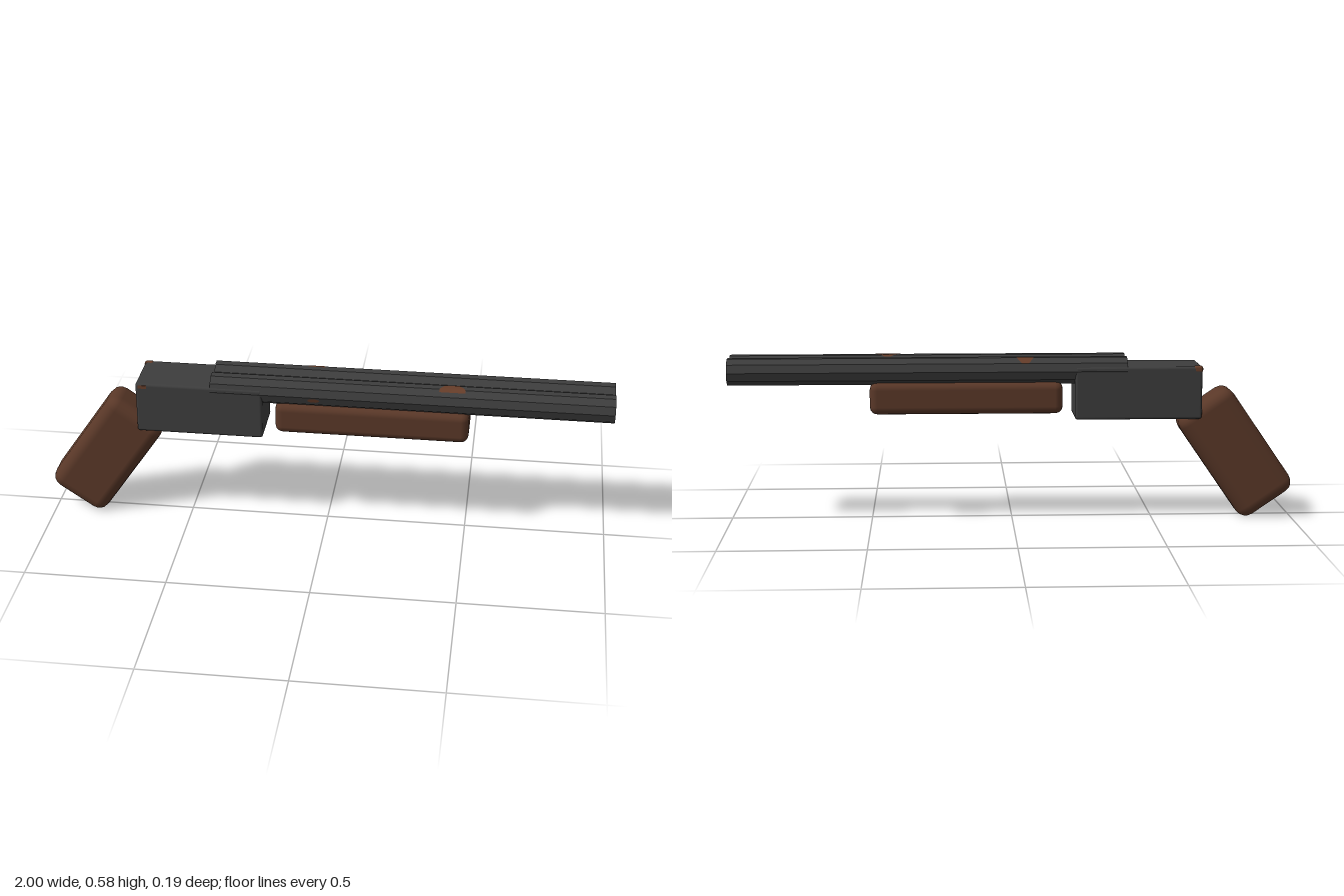
import * as THREE from 'three';
import { RoundedBoxGeometry } from 'three/addons/geometries/RoundedBoxGeometry.js';

const BARREL_R = 0.049, BARREL_Y = 0.537, BARREL_Z = 0.046;

export function createModel() {
  const group = new THREE.Group();
  const metal = new THREE.MeshStandardMaterial({ color: 0x3d3d3d });
  metal.name = 'gunmetal';
  const barrelMetal = metal.clone();
  barrelMetal.name = 'facetedGunmetal';
  barrelMetal.flatShading = true;
  const wood = new THREE.MeshStandardMaterial({ color: 0x5a3828 });
  wood.name = 'wood';
  const rust = new THREE.MeshStandardMaterial({ color: 0x663d29, side: THREE.DoubleSide });
  rust.name = 'rust';

  const add = (name, geometry, material, x = 0, y = 0, z = 0) => {
    const mesh = new THREE.Mesh(geometry, material);
    mesh.name = name;
    mesh.position.set(x, y, z);
    group.add(mesh);
    return mesh;
  };

  // Twin ten-sided barrels, lying along x with a flat facet on top
  for (const side of [1, -1]) {
    const barrel = new THREE.CylinderGeometry(BARREL_R, BARREL_R, 1.404, 10).rotateZ(-Math.PI / 2);
    add(side > 0 ? 'leftBarrel' : 'rightBarrel', barrel, barrelMetal, 0.297, BARREL_Y, side * BARREL_Z);
  }

  // Receiver, fore-end and slanted grip
  add('receiver', new RoundedBoxGeometry(0.45, 0.188, 0.188, 2, 0.01), metal, -0.445, 0.459, 0);
  add('foreEnd', new RoundedBoxGeometry(0.68, 0.114, 0.18, 2, 0.027), wood, 0.162, 0.442, 0);
  const grip = add('grip', new RoundedBoxGeometry(0.228, 0.447, 0.15, 2, 0.042), wood, -0.799, 0.234, 0);
  grip.rotation.z = THREE.MathUtils.degToRad(-34.5);

  // Rust patch wrapped over the barrel facets; rows are [degrees from top, half width]
  const rustPatch = (name, side, x, rows) => {
    const positions = [], index = [];
    const apothem = BARREL_R * Math.cos(Math.PI / 10) + 0.001;
    rows.forEach(([deg, half], i) => {
      const a = THREE.MathUtils.degToRad(deg);
      const r = apothem / Math.cos(THREE.MathUtils.degToRad(deg - 36 * Math.round(deg / 36)));
      const y = r * Math.cos(a), z = side * r * Math.sin(a);
      positions.push(-half, y, z, half, y, z);
      if (i) {
        const k = 2 * i;
        if (side > 0) index.push(k - 2, k, k - 1, k - 1, k, k + 1);
        else index.push(k - 2, k - 1, k, k - 1, k + 1, k);
      }
    });
    const geometry = new THREE.BufferGeometry();
    geometry.setAttribute('position', new THREE.Float32BufferAttribute(positions, 3));
    geometry.setIndex(index);
    geometry.computeVertexNormals();
    add(name, geometry, rust, x, BARREL_Y, side * BARREL_Z);
  };
  rustPatch('barrelRustTop', 1, 0.44, [[-28, 0.012], [-18, 0.022], [0, 0.037], [18, 0.045], [32, 0.045]]);
  rustPatch('barrelRustBack', -1, -0.045, [[8, 0.03], [18, 0.03], [36, 0.022], [54, 0.012]]);
  rustPatch('barrelRustFront', 1, -0.04, [[96, 0.012], [102, 0.02], [108, 0.02], [114, 0.01]]);

  // Rust on the muzzle and the rear corners of the receiver
  add('muzzleRust', new THREE.CircleGeometry(0.014, 8).rotateY(Math.PI / 2), rust, 1.0, BARREL_Y + 0.002, 0.055);
  add('receiverRustBack', new RoundedBoxGeometry(0.034, 0.026, 0.026, 1, 0.009), rust, -0.655, 0.542, -0.082);
  add('receiverRustFront', new THREE.BoxGeometry(0.03, 0.012, 0.003), rust, -0.645, 0.541, 0.0932);

  return group;
}
